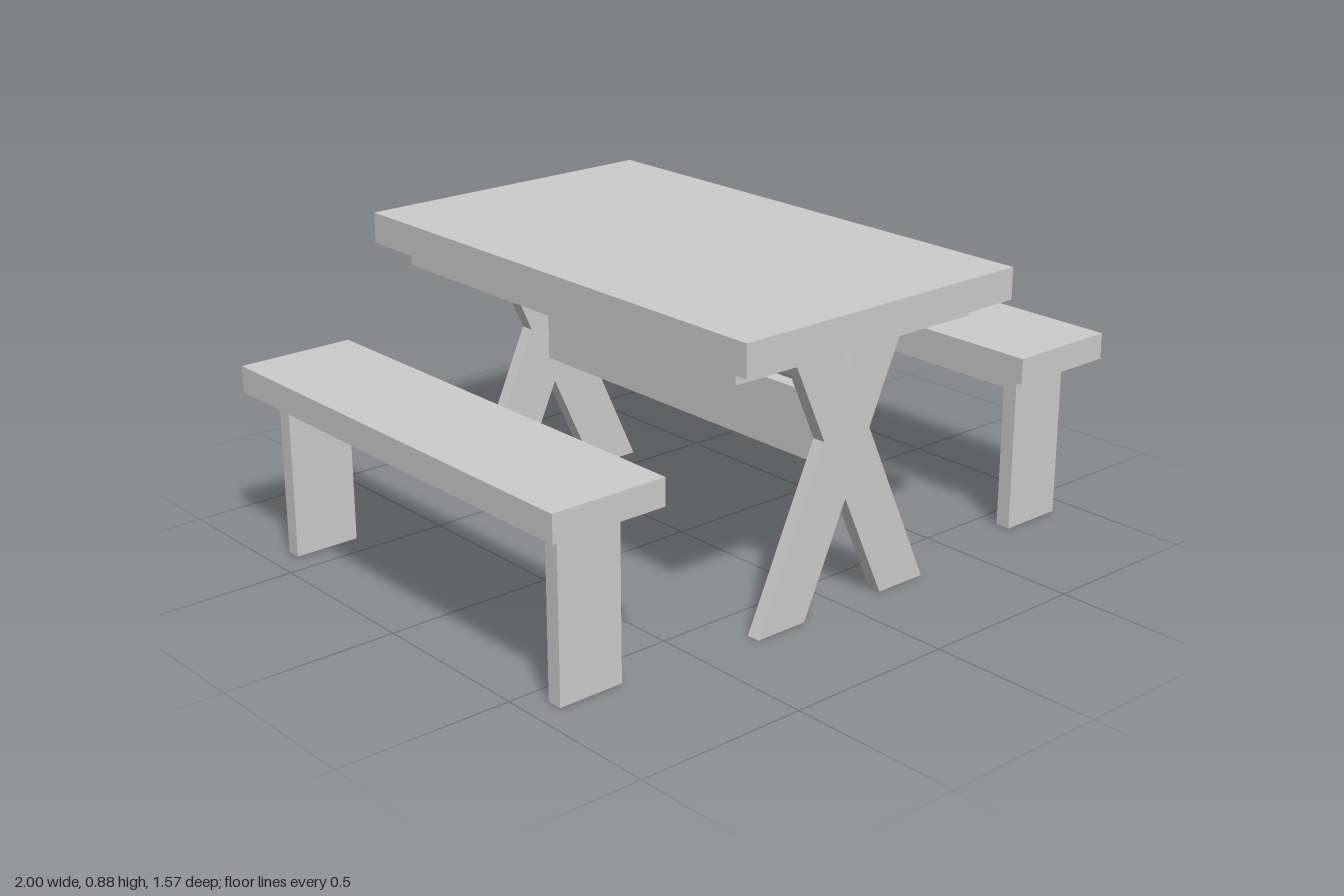
import * as THREE from 'three';

const material = new THREE.MeshStandardMaterial({ color: 0xcccccc, flatShading: true });

// Box given by its extents on each axis
function plank(name, [x0, x1], [y0, y1], [z0, z1]) {
  const mesh = new THREE.Mesh(new THREE.BoxGeometry(x1 - x0, y1 - y0, z1 - z0), material);
  mesh.position.set((x0 + x1) / 2, (y0 + y1) / 2, (z0 + z1) / 2);
  mesh.name = name;
  return mesh;
}

// Two crossed boards, cut flat at the floor and under the top
function crossedLegs(name, cx, height, z0, z1) {
  const half = [
    [0.1425, 0], [0.3075, 0], [0.075, 0.51], [0.1925, height],
    [0.0275, height], [0, 0.674],
  ];
  // Outer edges of the boards meet where their slopes cross
  const slope = 0.335 / height;
  half[2] = [0.3075 - slope * 0.493, 0.493];
  const left = half.slice(0, 5).reverse().map(([x, y]) => [-x, y]);
  const outline = [[0, 0.3125], ...half, ...left];
  const shape = new THREE.Shape(outline.map(([x, y]) => new THREE.Vector2(cx + x, y)));
  const geometry = new THREE.ExtrudeGeometry(shape, { depth: z1 - z0, bevelEnabled: false });
  const mesh = new THREE.Mesh(geometry, material);
  mesh.position.z = z0;
  mesh.name = name;
  return mesh;
}

function createTable() {
  const table = new THREE.Group();
  table.name = 'table';
  table.add(
    plank('tableTop', [-0.485, 0.473], [0.79, 0.88], [-0.785, 0.785]),
    plank('topSupport', [-0.43, 0.415], [0.735, 0.79], [-0.688, 0.688]),
    plank('tableStretcher', [-0.027, 0.015], [0.39, 0.58], [-0.572, 0.62]),
    crossedLegs('frontLegs', -0.0075, 0.735, 0.62, 0.66),
    crossedLegs('backLegs', -0.0075, 0.735, -0.615, -0.572),
  );
  return table;
}

function createBench(name, seatX, legX, railX) {
  const bench = new THREE.Group();
  bench.name = name;
  bench.add(
    plank('seat', seatX, [0.48, 0.557], [-0.688, 0.688]),
    plank('frontLeg', legX, [0.003, 0.48], [0.568, 0.613]),
    plank('backLeg', legX, [0.003, 0.48], [-0.62, -0.575]),
    plank('seatStretcher', railX, [0.39, 0.48], [-0.575, 0.568]),
  );
  return bench;
}

export function createModel() {
  const model = new THREE.Group();
  model.name = 'picnicTable';
  model.add(
    createTable(),
    createBench('leftBench', [0.653, 1], [0.722, 0.92], [0.8, 0.842]),
    createBench('rightBench', [-1, -0.656], [-0.93, -0.735], [-0.853, -0.811]),
  );
  return model;
}
